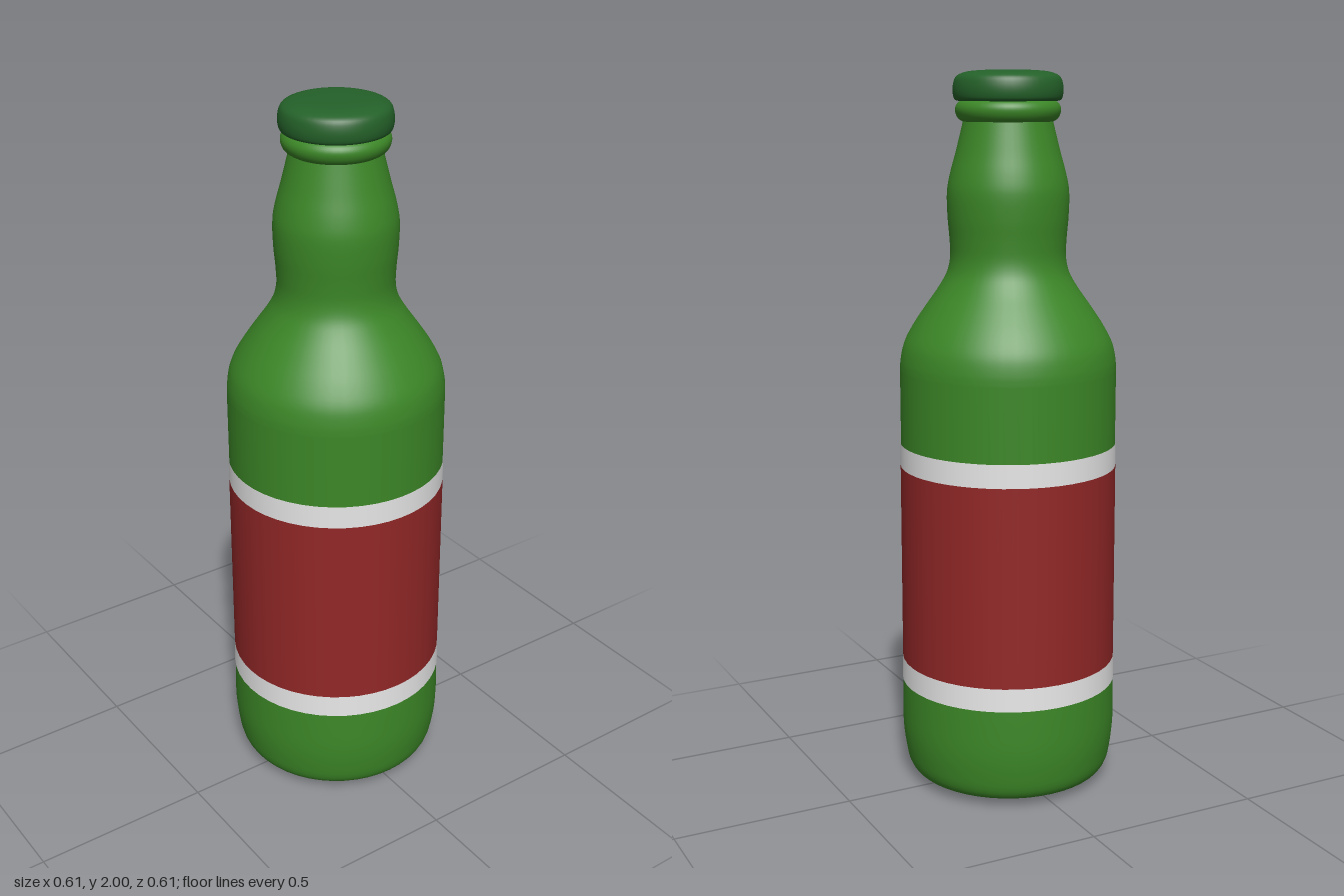
import * as THREE from 'three';

const SEGMENTS = 48;

const mat = (name, color) => {
  const m = new THREE.MeshStandardMaterial({ color });
  m.name = name;
  return m;
};

// Rounded profile through [radius, height] points, listed from bottom to top
function smooth(points, steps) {
  const curve = new THREE.CatmullRomCurve3(
    points.map(([r, y]) => new THREE.Vector3(r, y, 0)), false, 'centripetal');
  return curve.getPoints(steps).map(p => new THREE.Vector2(Math.max(p.x, 0), p.y));
}

function turned(name, profile, material) {
  const mesh = new THREE.Mesh(new THREE.LatheGeometry(profile, SEGMENTS), material);
  mesh.name = name;
  return mesh;
}

export function createModel() {
  const glass = mat('green glass', 0x3c8727);
  const capGreen = mat('dark green cap', 0x246129);
  const red = mat('label red', 0x922727);
  const white = mat('label white', 0xe8e8e8);

  const bottle = new THREE.Group();
  bottle.name = 'bottle';

  // Slightly domed base and the fuller lower wall
  const base = smooth([
    [0, 0], [0.14, 0.006], [0.235, 0.017], [0.27, 0.027], [0.287, 0.05],
    [0.298, 0.1], [0.304, 0.16], [0.304, 0.24], [0.302, 0.32], [0.3, 0.4],
  ], 36);
  // Straight wall, shoulder, bulging neck
  const upper = smooth([
    [0.3, 1.19], [0.298, 1.22], [0.288, 1.265], [0.262, 1.315], [0.225, 1.37],
    [0.19, 1.42], [0.168, 1.46], [0.159, 1.5], [0.16, 1.55], [0.165, 1.61],
    [0.166, 1.68], [0.158, 1.725], [0.143, 1.78], [0.129, 1.835], [0.121, 1.868],
  ], 56);
  bottle.add(turned('body', [...base, ...upper], glass));

  // Lip ring below the cap
  bottle.add(turned('lipRing', smooth([
    [0.118, 1.862], [0.134, 1.872], [0.142, 1.888], [0.142, 1.902],
    [0.134, 1.915], [0.12, 1.922],
  ], 16), glass));

  // Cap with rounded rim and nearly flat top
  bottle.add(turned('cap', smooth([
    [0, 1.918], [0.13, 1.918], [0.143, 1.922], [0.148, 1.935], [0.148, 1.96],
    [0.14, 1.982], [0.115, 1.994], [0.07, 1.999], [0, 2],
  ], 36), capGreen));

  // Wrapped label: red panel between two white bands
  const bands = [
    ['lowerLabelBand', 0.295, 0.36, 0.305, 0.303, white],
    ['labelPanel', 0.36, 0.92, 0.303, 0.302, red],
    ['upperLabelBand', 0.92, 0.985, 0.302, 0.302, white],
  ];
  for (const [name, y0, y1, r0, r1, material] of bands) {
    const geo = new THREE.CylinderGeometry(r1, r0, y1 - y0, SEGMENTS, 1, true);
    const mesh = new THREE.Mesh(geo, material);
    mesh.name = name;
    mesh.position.y = (y0 + y1) / 2;
    bottle.add(mesh);
  }

  return bottle;
}
